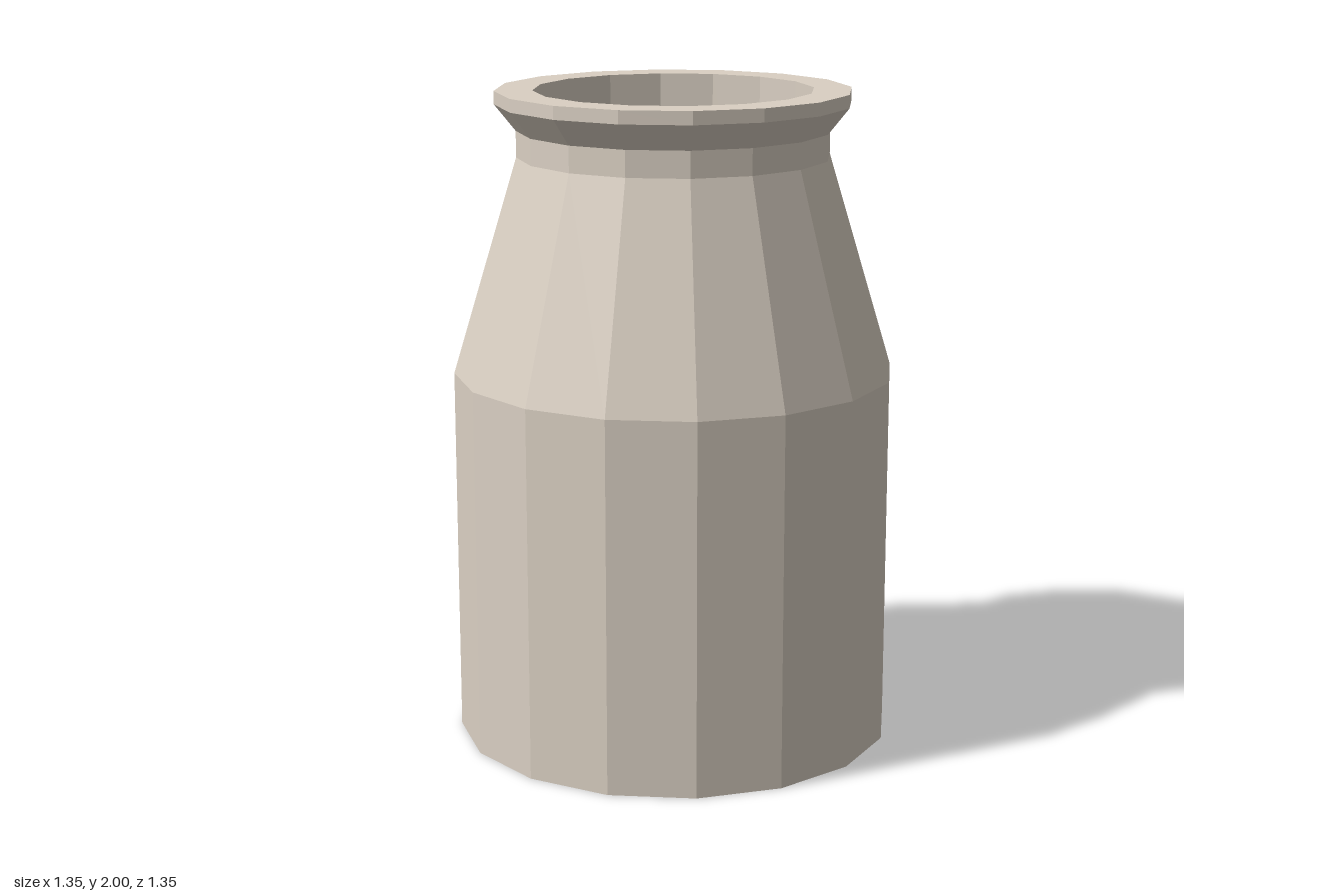
import * as THREE from 'three';

const SIDES = 16;
const LEVEL = 1.14; // height of the contents inside the neck

const stone = new THREE.MeshStandardMaterial({ color: 0xdad0c3, flatShading: true });
stone.name = 'pale stone';
const yellow = new THREE.MeshStandardMaterial({ color: 0xd9cc0f, flatShading: true });
yellow.name = 'yellow';

function lathe(points, sides) {
  return new THREE.LatheGeometry(points.map(([r, y]) => new THREE.Vector2(r, y)), sides);
}

function addMesh(parent, name, geometry, material) {
  const mesh = new THREE.Mesh(geometry, material);
  mesh.name = name;
  parent.add(mesh);
  return mesh;
}

// Raised relief piece lying flat, with side = 1 or -1 mirroring it across z
function reliefGeometry(outline, side) {
  const shape = new THREE.Shape(outline.map(([x, z]) => new THREE.Vector2(x, z * side)));
  const geometry = new THREE.ExtrudeGeometry(shape, { depth: 0.003, bevelEnabled: false });
  return geometry.rotateX(-Math.PI / 2);
}

// Abstract hooks carved on each disc, one half of the mirrored pattern
const hook = [
  [-0.02, 0.055], [-0.02, 0.072], [0.032, 0.072], [0.032, 0.035], [0, 0.035],
  [0, 0.055], [0.01, 0.055], [0.01, 0.045], [0.02, 0.045], [0.02, 0.06], [-0.01, 0.06], [-0.01, 0.055],
];
const bracket = [
  [-0.08, 0.006], [-0.08, 0.042], [-0.05, 0.042], [-0.05, 0.03], [-0.058, 0.03],
  [-0.058, 0.034], [-0.07, 0.034], [-0.07, 0.016], [-0.04, 0.016], [-0.04, 0.006],
];
const cheek = [[0.038, 0], [0.038, 0.075], [0.07, 0.078], [0.064, 0.05], [0.061, 0]];

// Twelve-sided disc with a raised border
function createDisc(x, z) {
  const disc = new THREE.Group();
  disc.name = 'carvedDisc';
  addMesh(disc, 'discBody', lathe([
    [0, 0], [0.13, 0], [0.13, 0.016], [0.116, 0.02], [0.114, 0.016], [0, 0.016],
  ], 12), stone);
  for (const side of [1, -1]) {
    for (const outline of [hook, bracket, cheek]) {
      addMesh(disc, 'discRelief', reliefGeometry(outline, side), stone).position.y = 0.016;
    }
  }
  disc.position.set(x, LEVEL + 0.002, z);
  return disc;
}

export function createModel() {
  const model = new THREE.Group();
  model.name = 'jar';

  // Outer wall, sloping shoulder, flared lip and straight inner wall
  addMesh(model, 'jarBody', lathe([
    [0, 0], [0.675, 0], [0.675, 1.14], [0.476, 1.8], [0.476, 1.88],
    [0.54, 1.96], [0.54, 2], [0.425, 2], [0.425, LEVEL],
  ], SIDES), stone);

  // Flat surface of the contents
  const contents = lathe([[0.425, LEVEL], [0, LEVEL]], SIDES);
  addMesh(model, 'contents', contents, yellow);

  // Discs resting on the contents
  for (const [x, z] of [[0, -0.245], [0.323, 0.132], [-0.212, 0.23]]) {
    model.add(createDisc(x, z));
  }
  return model;
}
